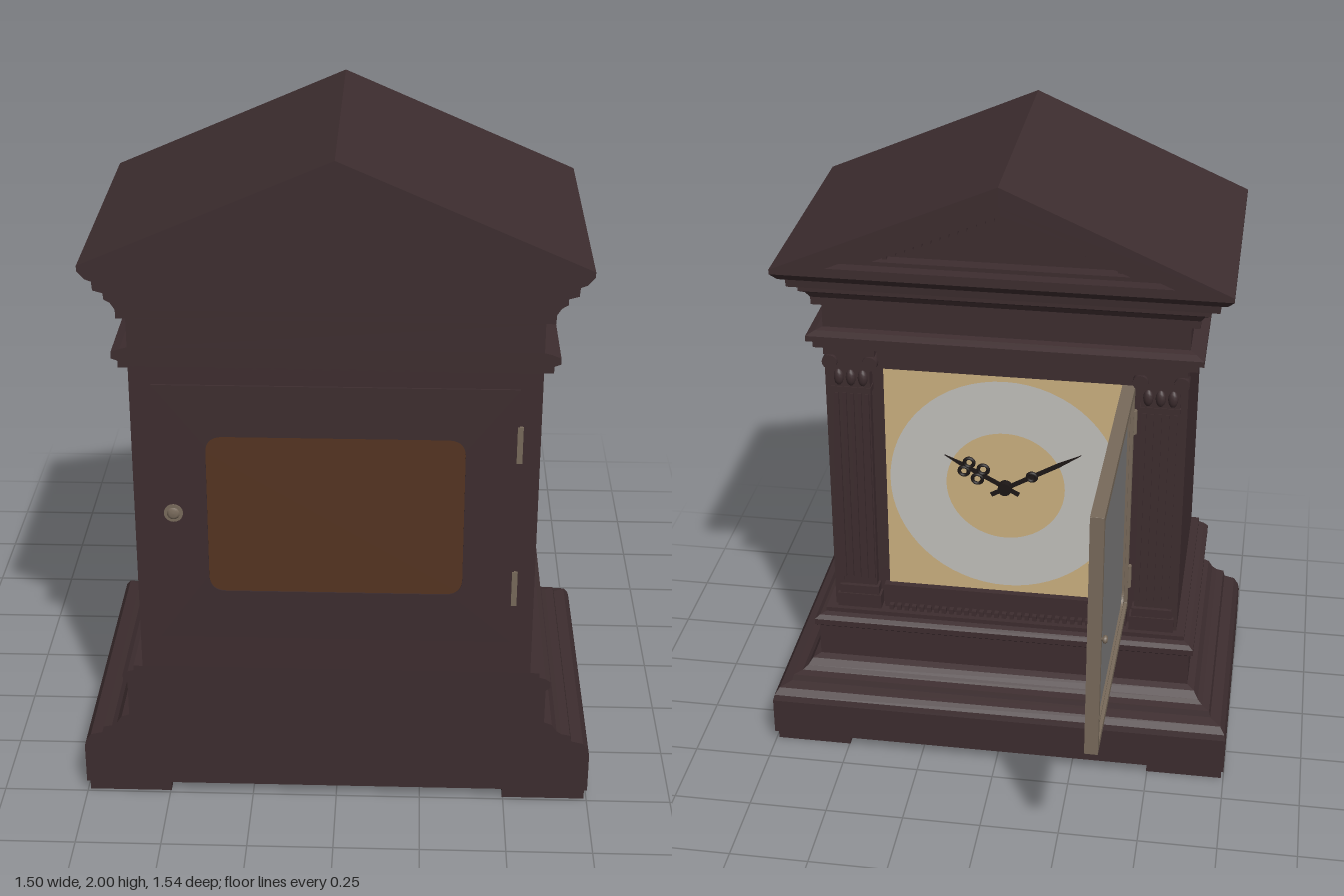
import * as THREE from 'three';

const mat = (name, color, side = THREE.FrontSide) => {
  const m = new THREE.MeshStandardMaterial({ color, side });
  m.name = name;
  return m;
};

export function createModel() {
  const wood = mat('dark wood', 0x3d2d2f);
  const brass = mat('aged brass', 0x786a5b);
  const amber = mat('amber glass', 0x543421);
  const glass = mat('grey glass', 0x7b7979);
  const cream = mat('dial cream', 0xcbb180);
  const silver = mat('dial silver', 0xc2c0bc);
  const black = mat('hand black', 0x1d1716);

  const model = new THREE.Group();
  model.name = 'mantelClock';
  const BACK = 0.755;

  const add = (name, geo, material, x = 0, y = 0, z = 0, parent = model) => {
    const m = new THREE.Mesh(geo, material);
    m.name = name;
    m.position.set(x, y, z);
    parent.add(m);
    return m;
  };
  const box = (name, material, w, h, d, x, y, z, parent) =>
    add(name, new THREE.BoxGeometry(w, h, d), material, x, y, z, parent);

  // Solid stacked from rectangles [halfWidth, y]; mitred on three sides, flat on +z
  const stack = (profile, face = (w) => 0.585 - w) => {
    const rings = profile.map(([w, y]) => [[-w, y, BACK], [w, y, BACK], [w, y, face(w)], [-w, y, face(w)]]);
    const p = [];
    const quad = (a, b, c, d) => p.push(...a, ...b, ...c, ...a, ...c, ...d);
    for (let r = 0; r < rings.length - 1; r++)
      for (let i = 0; i < 4; i++) {
        const j = (i + 1) % 4;
        quad(rings[r][i], rings[r][j], rings[r + 1][j], rings[r + 1][i]);
      }
    quad(...rings[rings.length - 1]);
    quad(...rings[0].slice().reverse());
    const g = new THREE.BufferGeometry();
    g.setAttribute('position', new THREE.Float32BufferAttribute(p, 3));
    g.computeVertexNormals();
    return g;
  };

  // Base, case and cornice
  add('base', stack([[0.75, 0.04], [0.75, 0.165], [0.745, 0.185], [0.73, 0.207], [0.695, 0.215], [0.69, 0.235],
    [0.665, 0.24], [0.65, 0.25], [0.635, 0.272], [0.612, 0.28], [0.612, 0.39], [0.625, 0.4], [0.625, 0.42],
    [0.61, 0.43], [0.592, 0.435], [0.592, 0.45]]), wood);
  add('case', stack([[0.565, 0.45], [0.565, 1.41]], () => 0.055), wood);
  add('cornice', stack([[0.592, 1.405], [0.592, 1.425], [0.61, 1.432], [0.61, 1.45], [0.585, 1.46], [0.565, 1.465],
    [0.565, 1.55], [0.592, 1.55], [0.592, 1.575], [0.605, 1.595], [0.622, 1.605], [0.622, 1.622], [0.65, 1.63],
    [0.652, 1.655], [0.67, 1.662], [0.69, 1.685], [0.69, 1.7]]), wood);

  // Feet
  for (const x of [-0.62, 0.62])
    for (const z of [-0.07, 0.665]) box('foot', wood, 0.245, 0.04, 0.15, x, 0.02, z);

  // Gabled roof with a recessed, stepped pediment on the dial side
  const triangle = (apex, base, Kind = THREE.Shape) => {
    const h = (apex - base) / 0.4348;
    const s = new Kind();
    s.moveTo(-h, base); s.lineTo(h, base); s.lineTo(0, apex); s.closePath();
    return s;
  };
  const gable = (name, outer, hole, z0, z1) => {
    const s = triangle(...outer);
    if (hole) s.holes.push(triangle(...hole, THREE.Path));
    add(name, new THREE.ExtrudeGeometry(s, { depth: z1 - z0, bevelEnabled: false }), wood, 0, 0, z0);
  };
  gable('roof', [2, 1.7], null, -0.02, BACK);
  gable('pedimentFrame', [2, 1.7], [1.94, 1.715], -0.107, -0.02);
  gable('pedimentStep', [1.945, 1.71], [1.895, 1.728], -0.065, -0.02);
  for (const s of [-1, 1])
    for (let i = 1; i < 14; i++) {
      const x = s * i * 0.027;
      box('pedimentDentil', wood, 0.012, 0.016, 0.025, x, 1.888 - Math.abs(x) * 0.4348, -0.03);
    }

  // Pilasters with flutes, bases and scrolled capitals
  for (const s of [-1, 1]) {
    const x = s * 0.482;
    box('cornerStile', wood, 0.03, 0.96, 0.04, s * 0.55, 0.93, 0.045);
    box('pilaster', wood, 0.115, 0.9, 0.035, x, 0.92, 0.045);
    for (let i = -2; i <= 2; i++) box('flute', wood, 0.011, 0.68, 0.012, x + i * 0.024, 0.9, 0.024);
    box('pilasterFoot', wood, 0.145, 0.05, 0.05, x, 0.475, 0.035);
    box('pilasterCollar', wood, 0.13, 0.03, 0.045, x, 0.515, 0.037);
    box('capitalNeck', wood, 0.125, 0.02, 0.045, x, 1.255, 0.035);
    box('capitalBell', wood, 0.12, 0.11, 0.04, x, 1.32, 0.035);
    box('capitalSlab', wood, 0.16, 0.025, 0.06, x, 1.393, 0.03);
    for (const k of [-1, 1]) {
      const scroll = add('capitalScroll', new THREE.CylinderGeometry(0.024, 0.024, 0.05, 16), wood, x + k * 0.063, 1.352, 0.028);
      scroll.rotation.x = Math.PI / 2;
    }
    for (let i = -1; i <= 1; i++) {
      const leaf = add('capitalLeaf', new THREE.SphereGeometry(0.02, 10, 8), wood, x + i * 0.038, 1.298, 0.016);
      leaf.scale.set(0.8, 1.4, 0.7);
    }
  }

  // Rails and dentils around the dial opening
  box('upperRail', wood, 0.8, 0.08, 0.03, 0, 1.37, 0.042);
  box('lowerRail', wood, 0.8, 0.085, 0.03, 0, 0.4925, 0.042);
  for (let i = -15; i <= 15; i++) box('ledgeDentil', wood, 0.014, 0.018, 0.02, i * 0.025, 0.459, 0.02);

  // Dial, facing -z
  const dial = new THREE.Group();
  dial.name = 'dial';
  dial.position.set(0, 0.932, 0.05);
  dial.rotation.y = Math.PI;
  model.add(dial);
  box('dialPlate', cream, 0.77, 0.79, 0.008, 0, 0, 0, dial);
  add('chapterRing', new THREE.RingGeometry(0.19, 0.372, 64), silver, 0, 0, 0.006, dial);
  const hand = (name, length, bulbs, angle, z) => {
    const g = new THREE.Group();
    g.name = name;
    g.position.z = z;
    g.rotation.z = angle;
    dial.add(g);
    const blade = new THREE.Shape();
    blade.moveTo(-0.05, -0.007); blade.lineTo(length * 0.7, -0.007); blade.lineTo(length, 0);
    blade.lineTo(length * 0.7, 0.007); blade.lineTo(-0.05, 0.007);
    const flat = { depth: 0.005, bevelEnabled: false };
    add('blade', new THREE.ExtrudeGeometry(blade, flat), black, 0, 0, 0, g);
    for (const [x, y, r] of bulbs)
      add('ornament', new THREE.TorusGeometry(r, 0.006, 6, 16), black, x, y, 0.003, g);
  };
  const deg = Math.PI / 180;
  hand('hourHand', 0.22, [[0.09, 0.02, 0.016], [0.09, -0.02, 0.016], [0.14, 0.018, 0.015], [0.14, -0.018, 0.015]], 152 * deg, 0.01);
  hand('minuteHand', 0.28, [[0.1, 0, 0.014]], 30 * deg, 0.018);
  const hub = add('handHub', new THREE.CylinderGeometry(0.022, 0.022, 0.03, 20), black, 0, 0, 0.015, dial);
  hub.rotation.x = Math.PI / 2;

  // Rounded rectangle centred on the origin
  const rounded = (w, h, r, Kind = THREE.Shape) => {
    const s = new Kind();
    const x = w / 2, y = h / 2;
    s.moveTo(-x + r, -y); s.lineTo(x - r, -y); s.quadraticCurveTo(x, -y, x, -y + r);
    s.lineTo(x, y - r); s.quadraticCurveTo(x, y, x - r, y);
    s.lineTo(-x + r, y); s.quadraticCurveTo(-x, y, -x, y - r);
    s.lineTo(-x, -y + r); s.quadraticCurveTo(-x, -y, -x + r, -y);
    return s;
  };
  const frame = (w, h, iw, ih, r, depth) => {
    const s = rounded(w, h, 0.001);
    s.holes.push(rounded(iw, ih, r, THREE.Path));
    return new THREE.ExtrudeGeometry(s, { depth, bevelEnabled: false });
  };
  const knobProfile = [[0, 0.02], [0.008, 0.019], [0.013, 0.014], [0.011, 0.008], [0.005, 0.005], [0.005, 0]]
    .reverse().map(([x, y]) => new THREE.Vector2(x, y));

  // Glazed dial door, standing open
  const door = new THREE.Group();
  door.name = 'dialDoor';
  door.position.set(-0.385, 0.93, 0.03);
  door.rotation.y = Math.PI / 2 - 0.013;
  model.add(door);
  add('doorFrame', frame(0.8, 0.8, 0.75, 0.75, 0.002, 0.04), brass, 0.4, 0, -0.018, door);
  add('doorBezel', frame(0.755, 0.755, 0.735, 0.735, 0.05, 0.02), brass, 0.4, 0, -0.008, door);
  box('doorGlass', glass, 0.75, 0.75, 0.006, 0.4, 0, 0.002, door);
  const doorKnob = add('doorKnob', new THREE.LatheGeometry(knobProfile, 16), brass, 0.79, 0, -0.016, door);
  doorKnob.rotation.x = -Math.PI / 2;
  for (const y of [-0.28, 0.28])
    add('doorHinge', new THREE.CylinderGeometry(0.01, 0.01, 0.08, 12), brass, 0.012, y, -0.018, door);

  // Service door on the +z side, with window, hinges and knob
  const windowY = 0.957;
  add('serviceDoor', frame(1.01, 0.8, 0.72, 0.49, 0.05, 0.006), wood, 0, windowY, BACK);
  add('serviceWindow', new THREE.ShapeGeometry(rounded(0.73, 0.5, 0.05)), amber, 0, windowY, BACK + 0.003);
  for (const y of [0.735, 1.19]) {
    box('serviceHinge', brass, 0.016, 0.11, 0.008, 0.508, y, BACK + 0.005);
  }
  const plate = add('knobPlate', new THREE.CylinderGeometry(0.027, 0.027, 0.006, 20), brass, -0.455, 0.963, BACK + 0.007);
  plate.rotation.x = Math.PI / 2;
  const knob = add('serviceKnob', new THREE.LatheGeometry(knobProfile, 16), brass, -0.455, 0.963, BACK + 0.003);
  knob.rotation.x = Math.PI / 2;
  knob.scale.set(1.4, 0.6, 1.4);

  return model;
}
